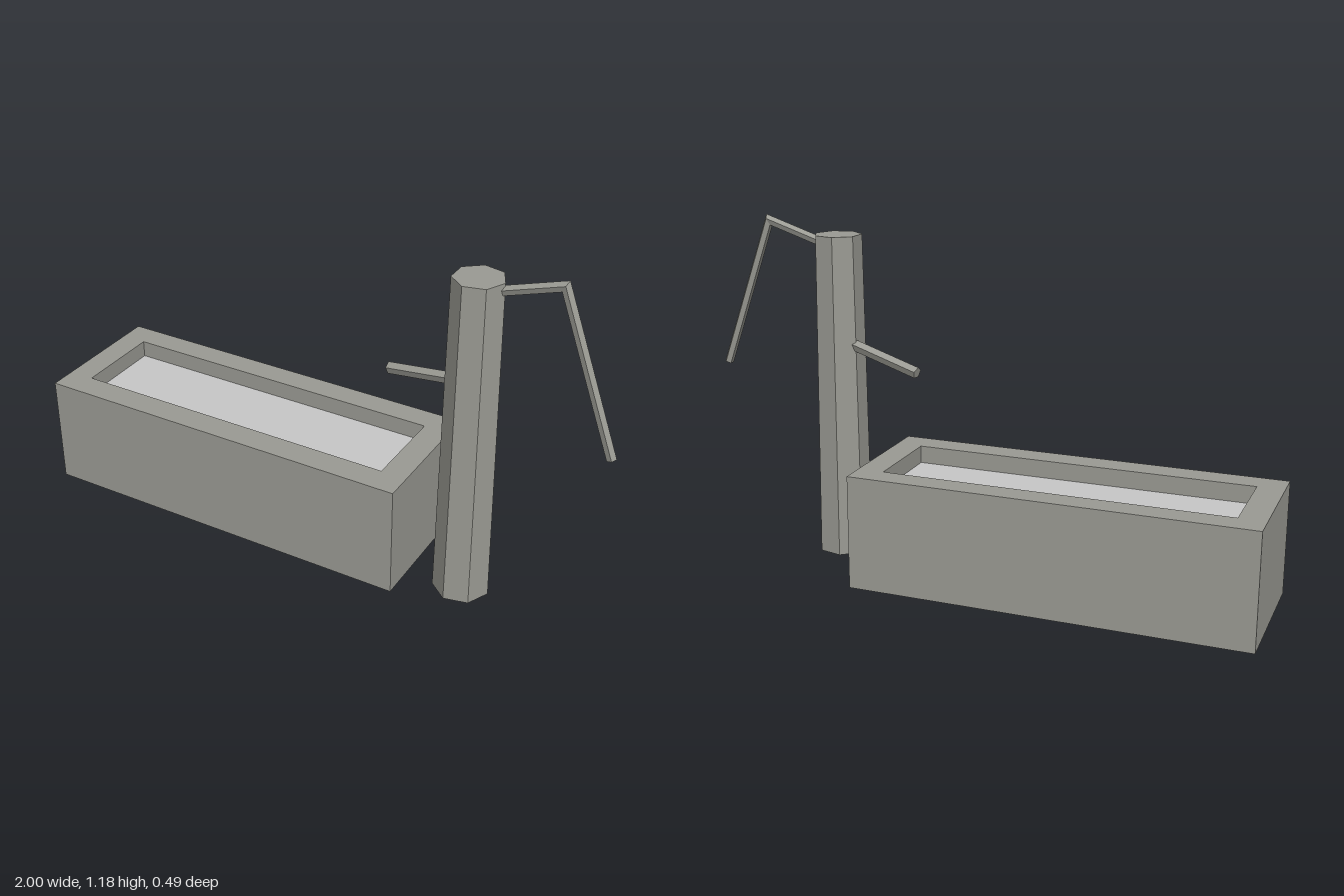
import * as THREE from 'three';

const stone = new THREE.MeshStandardMaterial({ color: 0x9b9b94, side: THREE.DoubleSide });
stone.name = 'grey stone';
const waterGrey = new THREE.MeshStandardMaterial({ color: 0xc8c8c8, side: THREE.DoubleSide });
waterGrey.name = 'pale water';

// Skin a list of rings (counter-clockwise around the direction of travel) with flat faces
function loft(rings, capped) {
  const pos = [];
  const tri = (...pts) => pts.forEach((p) => pos.push(p.x, p.y, p.z));
  const n = rings[0].length;
  for (let r = 0; r < rings.length - 1; r++) {
    const a = rings[r], b = rings[r + 1];
    for (let i = 0; i < n; i++) {
      const j = (i + 1) % n;
      tri(a[i], a[j], b[j]);
      tri(a[i], b[j], b[i]);
    }
  }
  if (capped) {
    const first = rings[0], last = rings[rings.length - 1];
    for (let i = 1; i < n - 1; i++) {
      tri(first[0], first[i + 1], first[i]);
      tri(last[0], last[i], last[i + 1]);
    }
  }
  const g = new THREE.BufferGeometry();
  g.setAttribute('position', new THREE.Float32BufferAttribute(pos, 3));
  g.computeVertexNormals();
  return g;
}

// Horizontal rectangle as a ring
const rect = (x0, x1, z0, z1, y) =>
  [[x1, z1], [x1, z0], [x0, z0], [x0, z1]].map(([x, z]) => new THREE.Vector3(x, y, z));

// Straight or mitred rod along a path lying in one vertical plane
function rod(path, radius, sides) {
  const pts = path.map((p) => new THREE.Vector3(...p));
  const dirs = pts.slice(1).map((p, i) => p.clone().sub(pts[i]).normalize());
  const h = dirs[0].clone().cross(new THREE.Vector3(0, 1, 0)).normalize();
  const normals = dirs.map((d) => h.clone().cross(d));
  const rings = pts.map((p, i) => {
    const n0 = normals[Math.max(i - 1, 0)];
    const n1 = normals[Math.min(i, normals.length - 1)];
    const m = n0.clone().add(n1).divideScalar(1 + n0.dot(n1));
    return Array.from({ length: sides }, (_, k) => {
      const a = (k / sides) * Math.PI * 2;
      return p.clone()
        .addScaledVector(m, radius * Math.cos(a))
        .addScaledVector(h, radius * Math.sin(a));
    });
  });
  return loft(rings, true);
}

export function createModel() {
  const model = new THREE.Group();
  model.name = 'waterPumpAndTrough';
  const add = (name, geometry, material) => {
    const mesh = new THREE.Mesh(geometry, material);
    mesh.name = name;
    model.add(mesh);
    return mesh;
  };

  // Trough: outer walls, rim and inner walls, open underneath
  const waterY = 0.33;
  add('trough', loft([
    rect(-1, 0.35, -0.245, 0.243, 0),
    rect(-1, 0.35, -0.245, 0.243, 0.39),
    rect(-0.91, 0.26, -0.157, 0.15, 0.39),
    rect(-0.91, 0.26, -0.157, 0.15, waterY),
  ], false), stone);

  // Water surface
  const water = add('water', new THREE.PlaneGeometry(1.17, 0.307).rotateX(-Math.PI / 2), waterGrey);
  water.position.set(-0.325, waterY, -0.0035);

  // Tapered seven-sided pump post
  const post = new THREE.CylinderGeometry(0.082, 0.095, 1.125, 7, 1, false, Math.PI / 2).toNonIndexed();
  post.computeVertexNormals();
  add('pumpPost', post, stone).position.set(0.535, 0.5625, 0.095);

  // Spout sloping towards the trough
  add('spout', rod([[0.5, 0.76, 0.075], [0.21, 0.69, 0.013]], 0.02, 5), stone);

  // Bent pump handle
  add('handle', rod([[0.56, 1.083, 0.093], [0.797, 1.16, 0.093], [0.984, 0.643, 0.093]], 0.016, 5), stone);

  return model;
}
